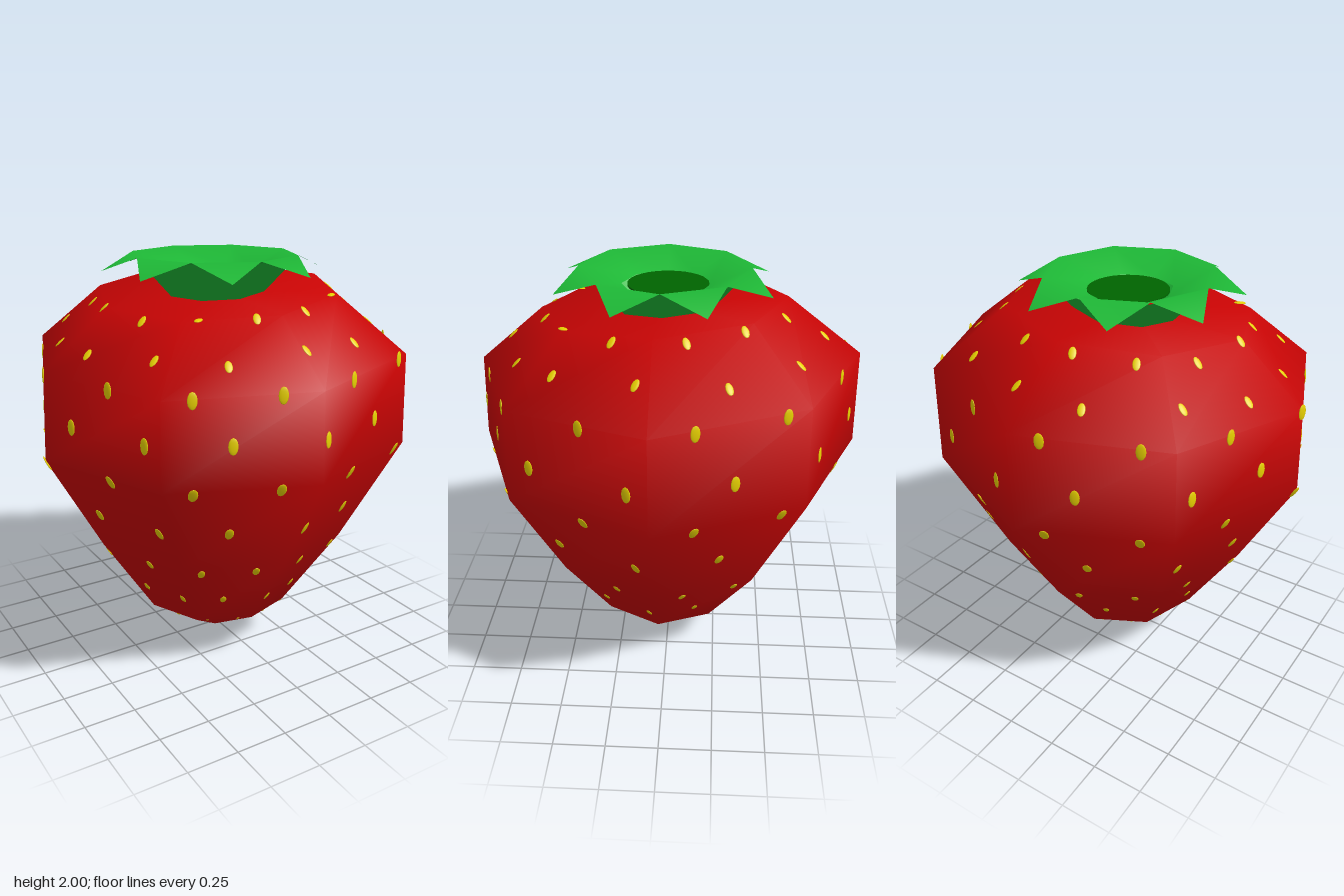
import * as THREE from 'three';

const mat = (name, color) => {
  const m = new THREE.MeshStandardMaterial({ color });
  m.name = name;
  return m;
};

function polyGeometry(points, faces) {
  const g = new THREE.BufferGeometry();
  g.setAttribute('position', new THREE.Float32BufferAttribute(points.flat(), 3));
  g.setIndex(faces.flat());
  g.computeVertexNormals();
  return g;
}

// Eight-sided fruit body: tilted rings between a pointed tip and a flat cap
function bodyGeometry() {
  const sides = 8;
  // y, radius, centre offset (towards -x and +z), tilt towards +x and -z
  const rings = [
    [0.21, 0.37, 0.035, -0.02],
    [0.61, 0.65, 0.02, -0.03],
    [1.125, 0.933, 0.003, 0],
    [1.56, 0.92, 0, 0.03],
    [1.83, 0.585, 0.025, 0.036],
  ];
  const points = [[-0.03, 0, 0.03]];
  const faces = [];
  for (const [y, r, off, tilt] of rings) {
    const skew = 0.04 - off;
    for (let j = 0; j < sides; j++) {
      const a = (j / sides) * Math.PI * 2;
      const s = Math.sin(a), c = Math.cos(a);
      points.push([r * s - off - skew * c * c, y + tilt * (s - c), r * c + off + skew * s * s]);
    }
  }
  const top = points.length;
  points.push([-0.03, 1.825, 0.03]);
  const at = (i, j) => 1 + i * sides + (j % sides);
  const last = rings.length - 1;
  for (let j = 0; j < sides; j++) {
    faces.push([0, at(0, j + 1), at(0, j)]);
    for (let i = 0; i < last; i++) {
      faces.push([at(i, j), at(i, j + 1), at(i + 1, j + 1)]);
      faces.push([at(i, j), at(i + 1, j + 1), at(i + 1, j)]);
    }
    faces.push([at(last, j), at(last, j + 1), top]);
  }
  return polyGeometry(points, faces);
}

// Leafy crown: shallow dish with eight pointed tips bent downwards
function crownGeometry() {
  const points = [];
  const faces = [];
  for (let k = 0; k < 8; k++) {
    const a = (k * Math.PI) / 4, b = a + Math.PI / 8;
    points.push([0.205 * Math.sin(a), 1.92, 0.205 * Math.cos(a)]);
    points.push([0.405 * Math.sin(a), 2, 0.405 * Math.cos(a)]);
    points.push([0.535 * Math.sin(b), 1.925, 0.535 * Math.cos(b)]);
  }
  for (let k = 0; k < 8; k++) {
    const i = 3 * k, n = 3 * ((k + 1) % 8);
    faces.push([i, i + 1, n + 1], [i, n + 1, n], [i + 1, i + 2, n + 1]);
  }
  return polyGeometry(points, faces);
}

export function createModel() {
  const red = mat('fruit red', 0xc80404);
  const yellow = mat('seed yellow', 0xf2da00);
  const green = mat('leaf green', 0x1eb836);
  green.side = THREE.DoubleSide;
  const darkGreen = mat('stem green', 0x006400);

  const model = new THREE.Group();
  const add = (name, geometry, material, parent = model) => {
    const mesh = new THREE.Mesh(geometry, material);
    mesh.name = name;
    parent.add(mesh);
    return mesh;
  };

  const body = add('fruitBody', bodyGeometry(), red);

  // Seeds: staggered rows of thirteen, dropped onto the body surface
  const seeds = new THREE.Group();
  seeds.name = 'seeds';
  model.add(seeds);
  const seedGeometry = new THREE.SphereGeometry(1, 10, 6);
  const ray = new THREE.Raycaster();
  const placeRow = (angles, size, start) => {
    for (const degrees of angles) {
      const a = THREE.MathUtils.degToRad(degrees);
      const [origin, direction] = start(Math.sin(a), Math.cos(a));
      ray.set(origin, direction);
      const hit = ray.intersectObject(body)[0];
      if (!hit) continue;
      const seed = add('seed', seedGeometry, yellow, seeds);
      seed.scale.set(0.022 * size, 0.038 * size, 0.005);
      seed.position.copy(hit.point);
      seed.lookAt(hit.point.clone().add(hit.face.normal));
    }
  };
  // Seed directions around the fruit, in degrees from the front
  const odd = [1, 27, 52, 83, 113, 144, 174, 198, 230, 256, 282, 310, 334];
  const even = [14, 41, 69, 101, 128, 162, 189, 216, 243, 271, 297, 323, 348];

  // Side rows: height, size, tilt
  const sideRows = [
    [0.2, 0.4, -0.02], [0.37, 0.7, -0.02], [0.57, 0.8, -0.025], [0.85, 0.95, -0.01],
    [1.11, 1, 0], [1.315, 1, 0], [1.55, 1, 0.025],
  ];
  sideRows.forEach(([y, size, tilt], i) => placeRow(i % 2 ? odd : even, size, (s, c) => [
    new THREE.Vector3(3 * s - 0.025, y + tilt * (s - c), 3 * c + 0.02),
    new THREE.Vector3(-s, 0, -c),
  ]));
  // Shoulder rows: directions, radius
  for (const [angles, r] of [[odd, 0.745], [even, 0.577]]) {
    placeRow(angles, 0.8, (s, c) => [
      new THREE.Vector3(r * s - 0.03, 3, r * c + 0.01),
      new THREE.Vector3(0, -1, 0),
    ]);
  }

  // Crown with its flared underside and the sunken stem disc
  const crown = new THREE.Group();
  crown.name = 'crown';
  crown.position.set(-0.03, 0, 0.02);
  model.add(crown);
  add('crownLeaves', crownGeometry(), green, crown);
  const flare = add('crownFlare', new THREE.CylinderGeometry(0.4, 0.22, 0.19, 8, 1, true), green, crown);
  flare.position.y = 1.895;
  const stem = add('stemDisc', new THREE.CylinderGeometry(0.192, 0.192, 0.008, 32), darkGreen, crown);
  stem.position.set(0, 1.922, -0.015);

  return model;
}
